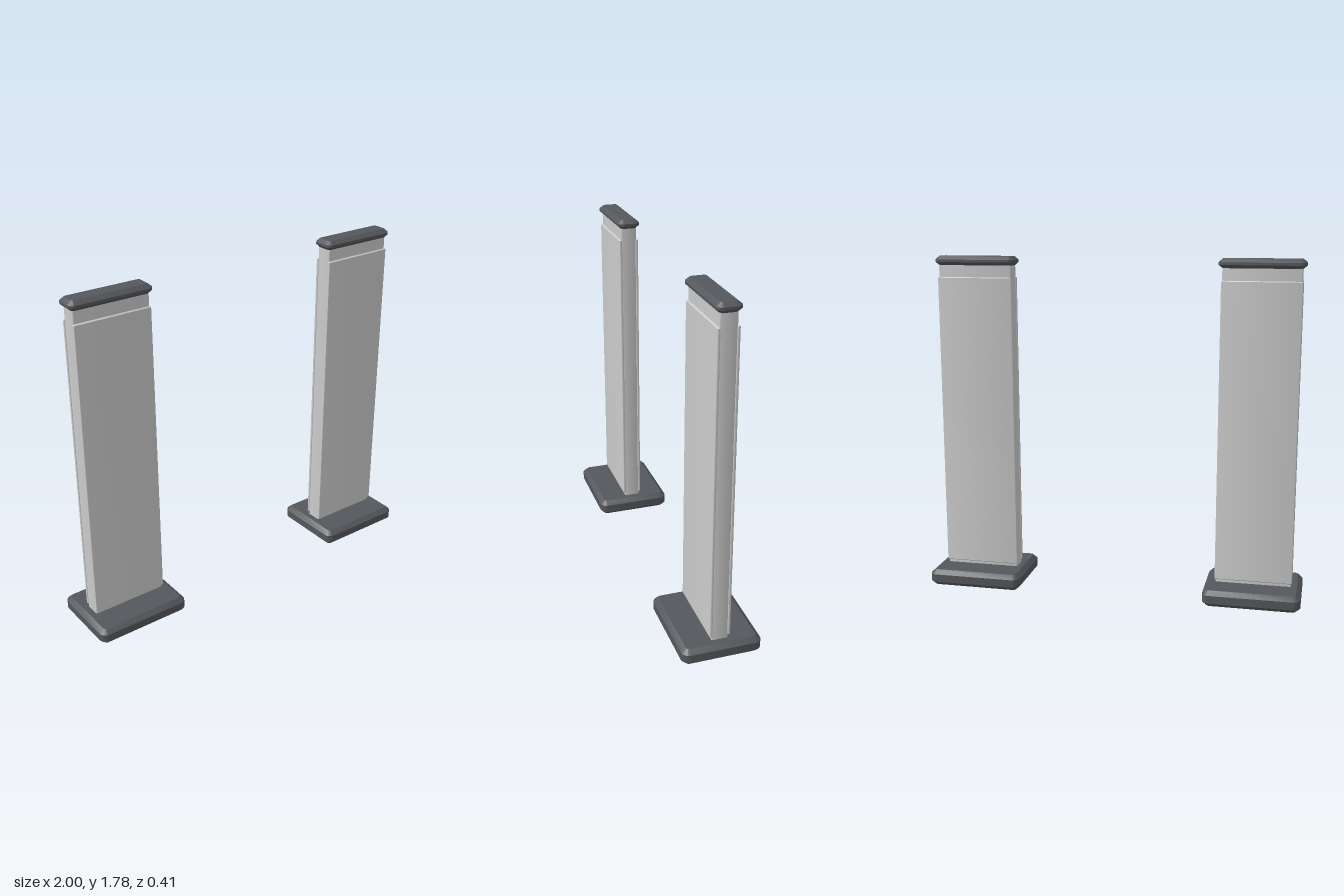
import * as THREE from 'three';
import { toCreasedNormals } from 'three/addons/utils/BufferGeometryUtils.js';

const dark = new THREE.MeshStandardMaterial({ color: 0x54575b });
const light = new THREE.MeshStandardMaterial({ color: 0xcccccc });

// Rounded rectangle centred on the origin
function roundedRect(w, h, r) {
  const x = w / 2, y = h / 2;
  const s = new THREE.Shape();
  s.moveTo(-x + r, -y);
  s.lineTo(x - r, -y);
  s.absarc(x - r, -y + r, r, -Math.PI / 2, 0);
  s.lineTo(x, y - r);
  s.absarc(x - r, y - r, r, 0, Math.PI / 2);
  s.lineTo(-x + r, y);
  s.absarc(-x + r, y - r, r, Math.PI / 2, Math.PI);
  s.lineTo(-x, -y + r);
  s.absarc(-x + r, -y + r, r, Math.PI, Math.PI * 1.5);
  return s;
}

// Upright slab with chamfered top and bottom edges; w and d are outer sizes
function slab(w, d, y0, y1, r, inset, chamfer) {
  const geo = new THREE.ExtrudeGeometry(roundedRect(w - 2 * inset, d - 2 * inset, r), {
    depth: y1 - y0 - 2 * chamfer, curveSegments: 5,
    bevelEnabled: true, bevelSize: inset, bevelThickness: chamfer, bevelSegments: 1,
  });
  geo.rotateX(-Math.PI / 2);
  geo.translate(0, y0 + chamfer, 0);
  return toCreasedNormals(geo, 0.5);
}

function part(name, geometry, material) {
  const mesh = new THREE.Mesh(geometry, material);
  mesh.name = name;
  return mesh;
}

function createPedestal(name) {
  const g = new THREE.Group();
  g.name = name;

  // Foot plate and top cap
  g.add(part('base', slab(0.506, 0.405, 0, 0.086, 0.018, 0.024, 0.022), dark));
  g.add(part('cap', slab(0.436, 0.122, 1.727, 1.776, 0.012, 0.021, 0.018), dark));

  // Inner column between the two cover panels
  g.add(part('core', slab(0.396, 0.084, 0.07, 1.74, 0.003, 0.003, 0.003), light));

  // Front and back cover panels
  for (const side of [1, -1]) {
    const panel = part(side > 0 ? 'frontPanel' : 'backPanel',
      slab(0.404, 0.014, 0.102, 1.667, 0.001, 0.004, 0.004), light);
    panel.position.z = side * 0.045;
    g.add(panel);
  }
  return g;
}

export function createModel() {
  const model = new THREE.Group();
  model.name = 'securityGatePair';
  for (const side of [1, -1]) {
    const pedestal = createPedestal(side > 0 ? 'leftPedestal' : 'rightPedestal');
    pedestal.position.x = side * 0.747;
    model.add(pedestal);
  }
  return model;
}
